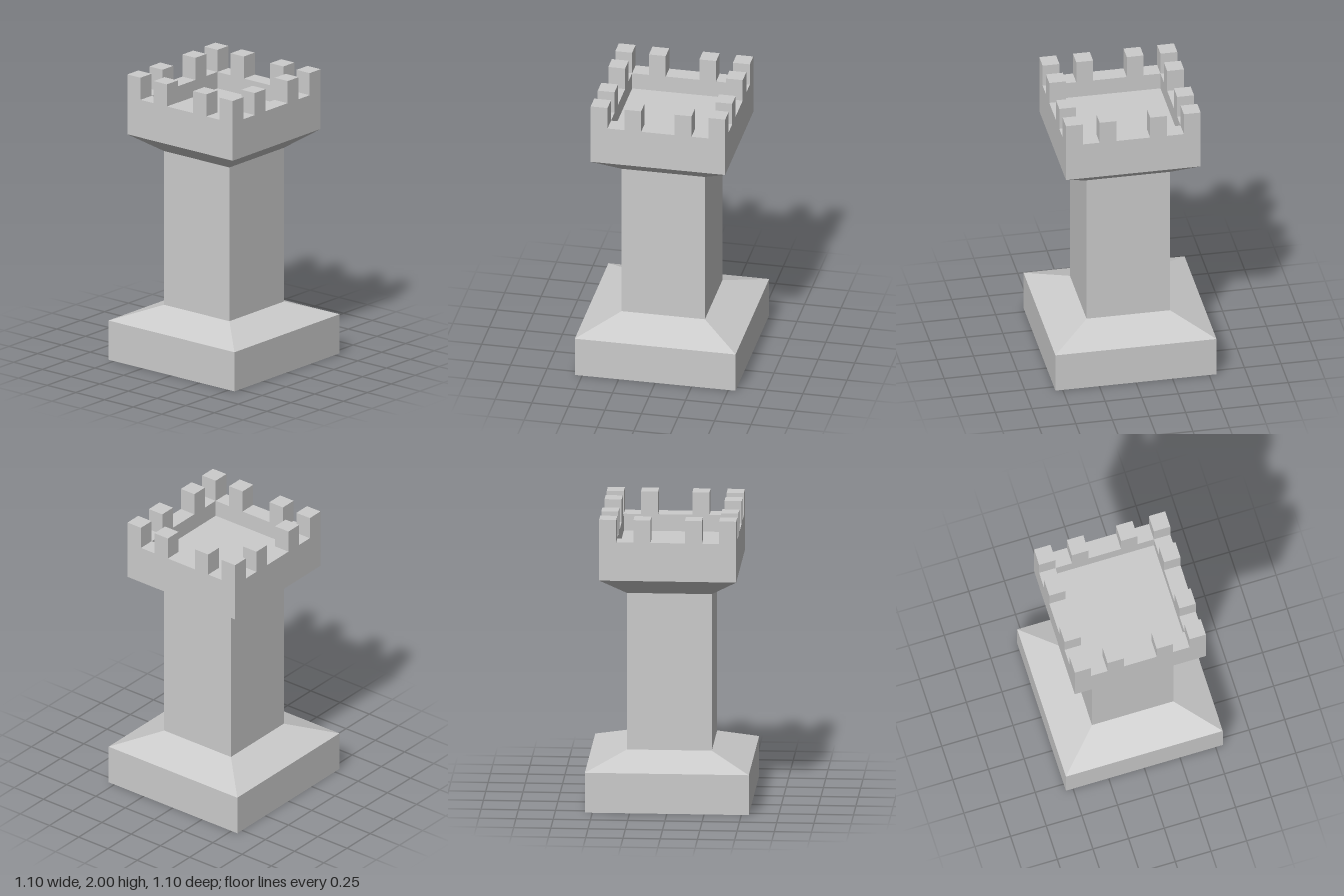
import * as THREE from 'three';

const material = new THREE.MeshStandardMaterial({ color: 0xcccccc, flatShading: true });

// Square solid of revolution: each profile point is [half width, height]
function squareLathe(name, profile) {
  const points = profile.map(([w, y]) => new THREE.Vector2(w * Math.SQRT2, y));
  const indexed = new THREE.LatheGeometry(points, 4);
  indexed.rotateY(Math.PI / 4);
  const geometry = indexed.toNonIndexed();
  geometry.computeVertexNormals();
  const mesh = new THREE.Mesh(geometry, material);
  mesh.name = name;
  return mesh;
}

export function createModel() {
  const tower = new THREE.Group();
  tower.name = 'castleTower';

  const outer = 0.46, inner = 0.345, wallTop = 1.845, top = 2;

  // Plinth with sloping shoulders
  tower.add(squareLathe('base', [[0, 0], [0.55, 0], [0.55, 0.275], [0.285, 0.375]]));

  // Square shaft
  tower.add(squareLathe('shaft', [[0.285, 0.375], [0.285, 1.455]]));

  // Flared crown, parapet wall and sunken floor
  tower.add(squareLathe('crown', [
    [0.285, 1.455], [outer, 1.58], [outer, wallTop],
    [inner, wallTop], [inner, 1.73], [0, 1.73],
  ]));

  // Merlons: one corner and two inner blocks on each side
  const battlements = new THREE.Group();
  battlements.name = 'battlements';
  const size = outer - inner;
  const height = top - wallTop;
  const block = new THREE.BoxGeometry(size, height, size);
  const edge = inner + size / 2;
  for (let i = 0; i < 4; i++) {
    const side = new THREE.Group();
    side.name = 'battlementSide';
    for (const x of [-edge, -size * 1.5, size * 1.5]) {
      const merlon = new THREE.Mesh(block, material);
      merlon.name = 'merlon';
      merlon.position.set(x, wallTop + height / 2, edge);
      side.add(merlon);
    }
    side.rotation.y = i * Math.PI / 2;
    battlements.add(side);
  }
  tower.add(battlements);

  return tower;
}
